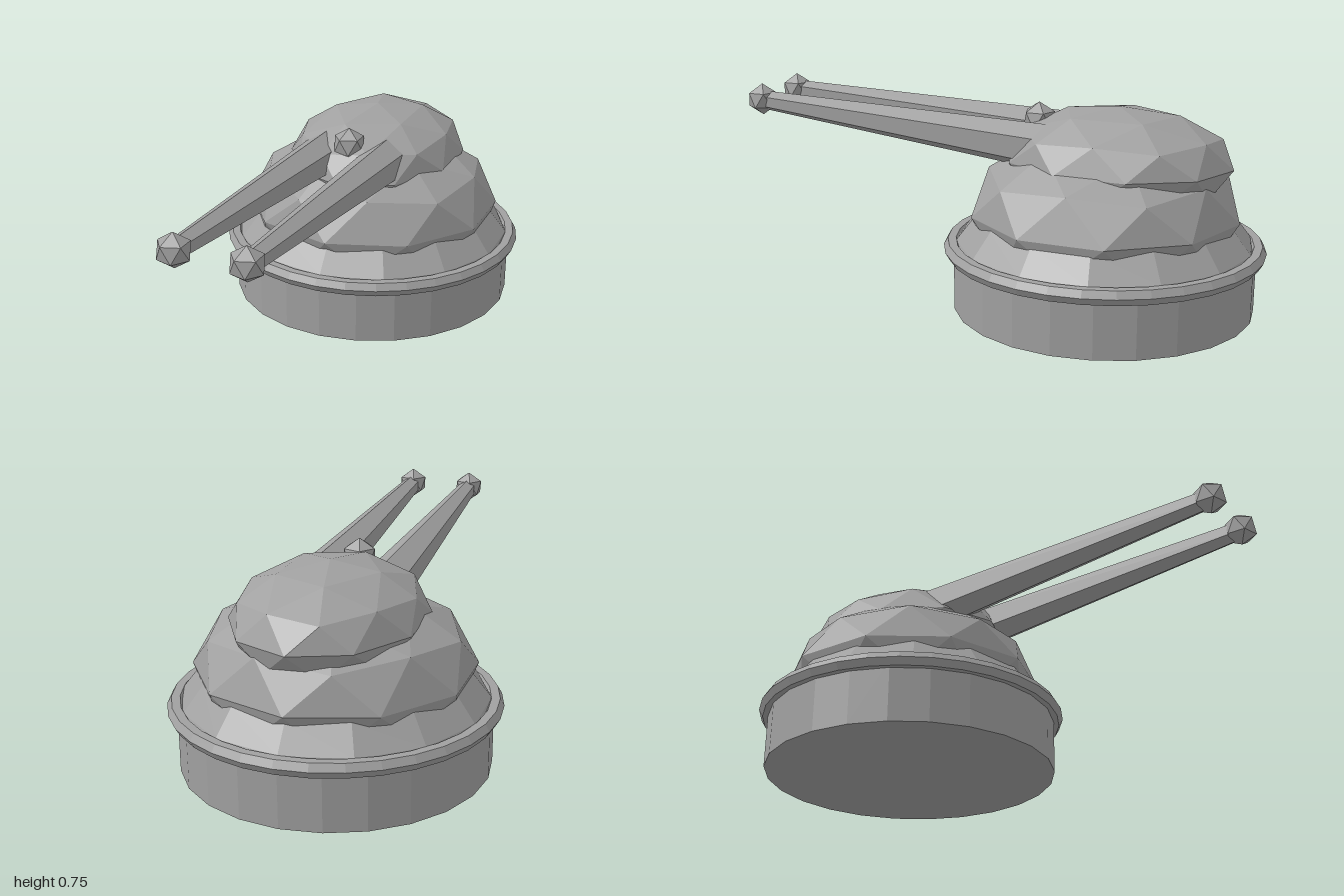
import * as THREE from 'three';

const grey = new THREE.MeshStandardMaterial({ color: 0xa0a0a0 });
grey.name = 'stone grey';
grey.flatShading = true;

const AXIS_Z = -0.415; // centre of the round base

function add(parent, name, geometry, x, y, z) {
  const mesh = new THREE.Mesh(geometry, grey);
  mesh.name = name;
  mesh.position.set(x, y, z);
  parent.add(mesh);
  return mesh;
}

// Faceted ball with a vertex at the top pole, stretched to the given half sizes
function facetedBall(detail, rx, ry = rx, rz = rx) {
  const g = new THREE.IcosahedronGeometry(1, detail);
  g.rotateZ(Math.atan(2 / (1 + Math.sqrt(5))));
  g.scale(rx, ry, rz);
  return g;
}

export function createModel() {
  const model = new THREE.Group();
  model.name = 'turret';

  // Round base and the rim on it
  add(model, 'base', new THREE.CylinderGeometry(0.55, 0.55, 0.225, 24), 0, 0.1125, AXIS_Z);
  const rim = new THREE.TorusGeometry(0.555, 0.03, 6, 32).rotateX(Math.PI / 2);
  add(model, 'rim', rim, 0, 0.226, AXIS_Z);

  // Three stacked tiers of the housing
  const skirt = [[0.555, 0.22], [0.54, 0.25], [0.47, 0.34], [0.36, 0.45], [0, 0.5]];
  add(model, 'lowerTier',
    new THREE.LatheGeometry(skirt.map(([r, y]) => new THREE.Vector2(r, y)), 14), 0, 0, AXIS_Z);
  add(model, 'middleTier', facetedBall(1, 0.495, 0.285, 0.495), 0, 0.36, AXIS_Z);
  add(model, 'topTier', facetedBall(1, 0.336, 0.195, 0.42), 0, 0.55, -0.46);

  // Sighting knob between the barrels
  add(model, 'knob', facetedBall(0, 0.064), 0, 0.673, -0.158);

  // Pair of tapered six-sided barrels with faceted muzzles
  const back = new THREE.Vector2(-0.26, 0.597);
  const front = new THREE.Vector2(0.95, 0.682);
  const mid = back.clone().add(front).multiplyScalar(0.5);
  const tilt = Math.atan2(front.y - back.y, front.x - back.x);
  for (const side of [-1, 1]) {
    const gun = new THREE.Group();
    gun.name = side > 0 ? 'leftGun' : 'rightGun';
    const barrel = new THREE.CylinderGeometry(0.036, 0.086, back.distanceTo(front), 6);
    barrel.rotateX(Math.PI / 2 - tilt);
    add(gun, 'barrel', barrel, side * 0.125, mid.y, mid.x);
    add(gun, 'muzzle', facetedBall(0, 0.061), side * 0.125, 0.684, 0.948);
    model.add(gun);
  }

  return model;
}
